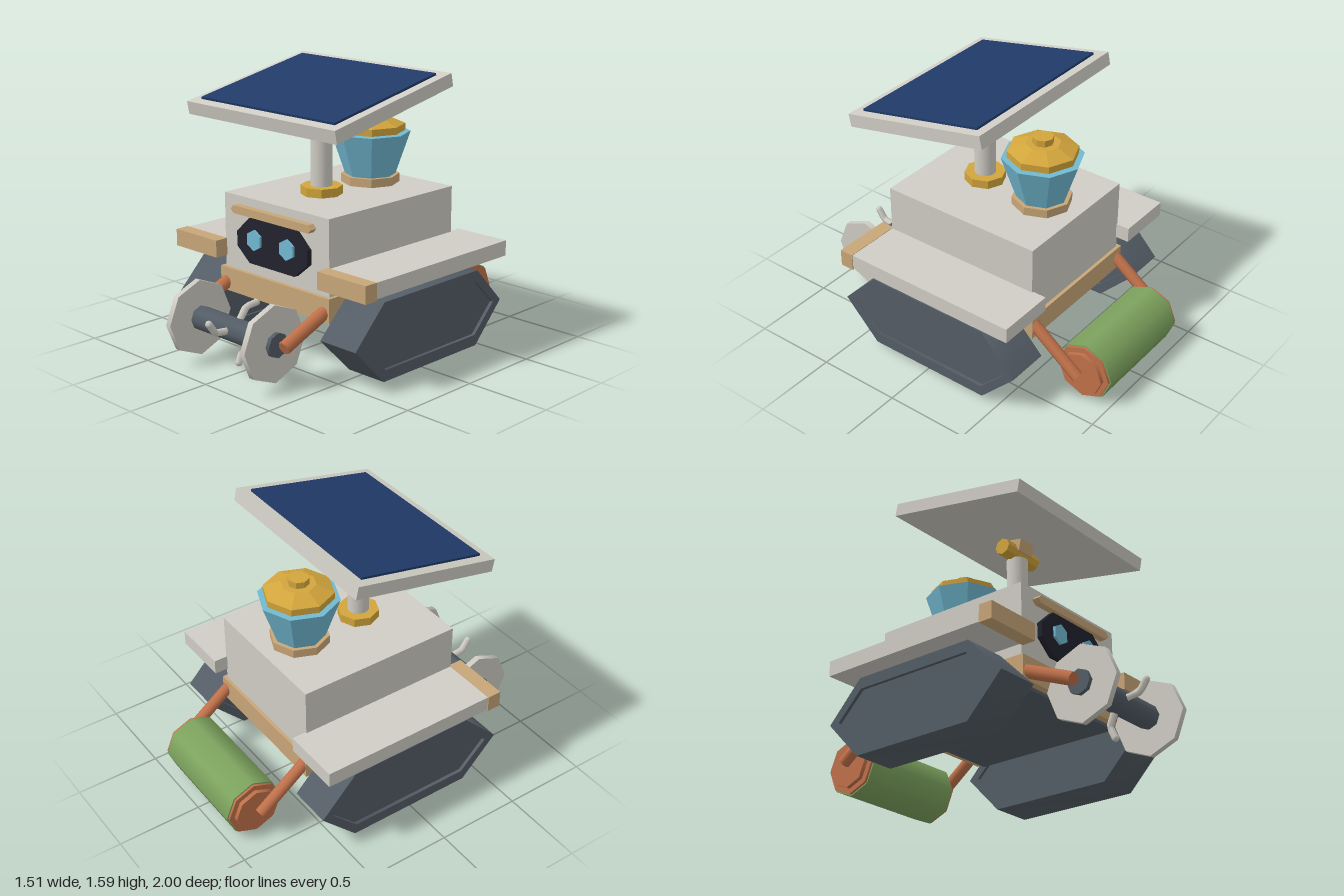
import * as THREE from 'three';
import { toCreasedNormals } from 'three/addons/utils/BufferGeometryUtils.js';

const material = (name, color, flat = false) => {
  const m = new THREE.MeshStandardMaterial({ color });
  m.name = name;
  m.flatShading = flat;
  return m;
};

export function createModel() {
  const grey = material('pale grey', 0xcfcdc4);
  const gold = material('gold', 0xd2a53c, true);
  const tan = material('tan', 0xc8a678, true);
  const navy = material('navy', 0x203a68);
  const green = material('green', 0x7da35e);
  const copper = material('copper', 0xc0714a);
  const slate = material('slate', 0x545d66);
  const black = material('screen black', 0x22222e);
  const cyan = material('cyan', 0x72bad2, true);

  const model = new THREE.Group();
  const add = (name, geometry, mat, x = 0, y = 0, z = 0, parent = model) => {
    const mesh = new THREE.Mesh(geometry, mat);
    mesh.name = name;
    mesh.position.set(x, y, z);
    parent.add(mesh);
    return mesh;
  };
  // Box given by its lower and upper limits
  const box = (name, mat, x0, x1, y0, y1, z0, z1) =>
    add(name, new THREE.BoxGeometry(x1 - x0, y1 - y0, z1 - z0), mat,
      (x0 + x1) / 2, (y0 + y1) / 2, (z0 + z1) / 2);
  // Upright round part from y0 to y1
  const drum = (name, mat, r0, r1, y0, y1, z, sides = 8) =>
    add(name, new THREE.CylinderGeometry(r1, r0, y1 - y0, sides), mat, 0, (y0 + y1) / 2, z);
  // Round part lying along x
  const axle = (name, mat, r, x0, x1, y, z, rOuter = r) => {
    const g = new THREE.CylinderGeometry(r, rOuter, x1 - x0, 8).rotateZ(Math.PI / 2);
    return add(name, g, mat, (x0 + x1) / 2, y, z);
  };
  const rod = (name, mat, r, a, b) => {
    const from = new THREE.Vector3(...a), to = new THREE.Vector3(...b);
    const dir = to.clone().sub(from);
    const mesh = add(name, new THREE.CylinderGeometry(r, r, dir.length(), 8), mat);
    mesh.position.copy(from).add(to).multiplyScalar(0.5);
    mesh.quaternion.setFromUnitVectors(new THREE.Vector3(0, 1, 0), dir.normalize());
    return mesh;
  };
  const outline = (points) => new THREE.Shape(points.map(p => new THREE.Vector2(...p)));
  const extrude = (shape, depth) =>
    new THREE.ExtrudeGeometry(shape, { depth, bevelEnabled: false });

  // Hull and chassis
  box('body', grey, -0.415, 0.415, 0.465, 0.9, -0.522, 0.478);
  box('chassisBelt', tan, -0.435, 0.435, 0.33, 0.467, -0.542, 0.502);
  box('bellyPlate', slate, -0.42, 0.42, 0.31, 0.34, -0.48, 0.46);

  // Face screen, eyes and brow
  const screen = outline([[-0.28, 0.62], [-0.18, 0.537], [0.18, 0.537], [0.28, 0.62],
    [0.28, 0.705], [0.18, 0.797], [-0.18, 0.797], [-0.28, 0.705]]);
  add('faceScreen', extrude(screen, 0.035), black, 0, 0, 0.475);
  for (const s of [1, -1]) {
    const eye = new THREE.CylinderGeometry(0.06, 0.06, 0.02, 6).rotateX(Math.PI / 2);
    add('eye', eye, cyan, s * 0.13, 0.68, 0.515);
  }
  const brow = outline([[-0.32, 0.829], [-0.297, 0.806], [0.297, 0.806], [0.32, 0.829],
    [0.297, 0.852], [-0.297, 0.852]]);
  add('brow', extrude(brow, 0.045), tan, 0, 0, 0.475);

  // Tracks: hexagonal loops with a recessed side panel
  const hexagon = (zBack, zFront, yLow, yHigh, fBack, fFront) => [
    [zBack, 0.262], [fBack, yLow], [fFront, yLow], [zFront, 0.262], [fFront, yHigh], [fBack, yHigh]];
  const outer = hexagon(-0.62, 0.585, 0.038, 0.485, -0.405, 0.365);
  const inner = hexagon(-0.555, 0.515, 0.102, 0.42, -0.395, 0.35);
  const rim = outline(outer);
  rim.holes.push(new THREE.Path(inner.map(p => new THREE.Vector2(...p))));
  for (const s of [1, -1]) {
    const track = new THREE.Group();
    track.name = s > 0 ? 'leftTrack' : 'rightTrack';
    model.add(track);
    const rimMesh = add('trackRim', toCreasedNormals(extrude(rim, 0.257), 0.9), slate,
      s * 0.582, 0, 0, track);
    rimMesh.geometry.translate(0, 0, -0.1285).rotateY(-Math.PI / 2);
    const panel = add('trackPanel', extrude(outline(inner), 0.217), slate, s * 0.582, 0, 0, track);
    panel.geometry.translate(0, 0, -0.1085).rotateY(-Math.PI / 2);
  }

  // Fenders with front bumpers
  for (const s of [1, -1]) {
    const span = s > 0 ? [0.405, 0.752] : [-0.752, -0.405];
    const tip = s > 0 ? [0.405, 0.757] : [-0.757, -0.405];
    box('fender', grey, ...span, 0.537, 0.627, -0.605, 0.478);
    box('fenderBumper', tan, ...tip, 0.53, 0.63, 0.476, 0.56);
  }

  // Mast, hinge and tilted solar panel
  drum('mastCollar', gold, 0.12, 0.12, 0.895, 0.95, 0.12);
  drum('mast', grey, 0.062, 0.062, 0.94, 1.32, 0.12, 16);
  axle('hinge', gold, 0.05, -0.14, 0.14, 1.36, 0.122);
  const solar = new THREE.Group();
  solar.name = 'solarPanel';
  solar.position.set(0, 1.47, 0.143);
  solar.rotation.x = 0.203;
  model.add(solar);
  add('panelFrame', new THREE.BoxGeometry(1.156, 0.076, 0.92), grey, 0, 0, 0, solar);
  add('solarCells', new THREE.BoxGeometry(1.04, 0.02, 0.8), navy, 0, 0.041, 0, solar);
  add('panelBracket', new THREE.BoxGeometry(0.12, 0.08, 0.12), tan, 0, -0.07, 0, solar);

  // Hopper with lid
  drum('hopperBase', tan, 0.17, 0.17, 0.895, 0.95, -0.28);
  drum('hopper', cyan, 0.147, 0.232, 0.95, 1.2, -0.28);
  const lid = [[0, 1.205], [0.2, 1.205], [0.2, 1.245], [0.1, 1.285], [0, 1.285]]
    .map(p => new THREE.Vector2(...p));
  add('hopperLid', new THREE.LatheGeometry(lid, 8), gold, 0, 0, -0.28);
  drum('lidKnob', gold, 0.06, 0.06, 1.28, 1.323, -0.28);

  // Front digging reel: axle, end discs, hooks and arms
  const reelY = 0.26, reelZ = 0.785;
  axle('reelAxle', slate, 0.07, -0.345, 0.345, reelY, reelZ);
  for (const s of [1, -1]) {
    axle('reelDisc', grey, 0.218, s * 0.302 - 0.018, s * 0.302 + 0.018, reelY, reelZ);
    rod('frontArm', copper, 0.038, [s * 0.39, 0.257, 0.79], [s * 0.39, 0.42, 0.4]);
  }
  for (let i = 0; i < 3; i++) {
    const path = new THREE.CurvePath();
    const points = [[0.05, 0], [0.14, 0], [0.19, 0.055]].map(([r, t]) => new THREE.Vector3(0, t, r));
    path.add(new THREE.LineCurve3(points[0], points[1]));
    path.add(new THREE.LineCurve3(points[1], points[2]));
    const hook = add('reelHook', new THREE.TubeGeometry(path, 6, 0.021, 6), grey, 0, reelY, reelZ);
    add('hookTip', new THREE.SphereGeometry(0.021, 6, 4), grey, 0, 0.055, 0.19, hook);
    hook.rotation.x = -THREE.MathUtils.degToRad(15 + i * 120 - 8);
  }

  // Rear roller: chamfered drum, stepped end caps and arms
  const rollY = 0.18, rollZ = -0.825;
  axle('rollerDrum', green, 0.174, -0.33, 0.33, rollY, rollZ);
  for (const s of [1, -1]) {
    const cap = (name, r, a, b) =>
      axle(name, copper, r, Math.min(s * a, s * b), Math.max(s * a, s * b), rollY, rollZ);
    cap('rollerEnd', 0.166, 0.325, 0.345);
    cap('rollerHub', 0.134, 0.34, 0.37);
    rod('rearArm', copper, 0.034, [s * 0.4, 0.182, -0.825], [s * 0.4, 0.48, -0.43]);
  }
  return model;
}
